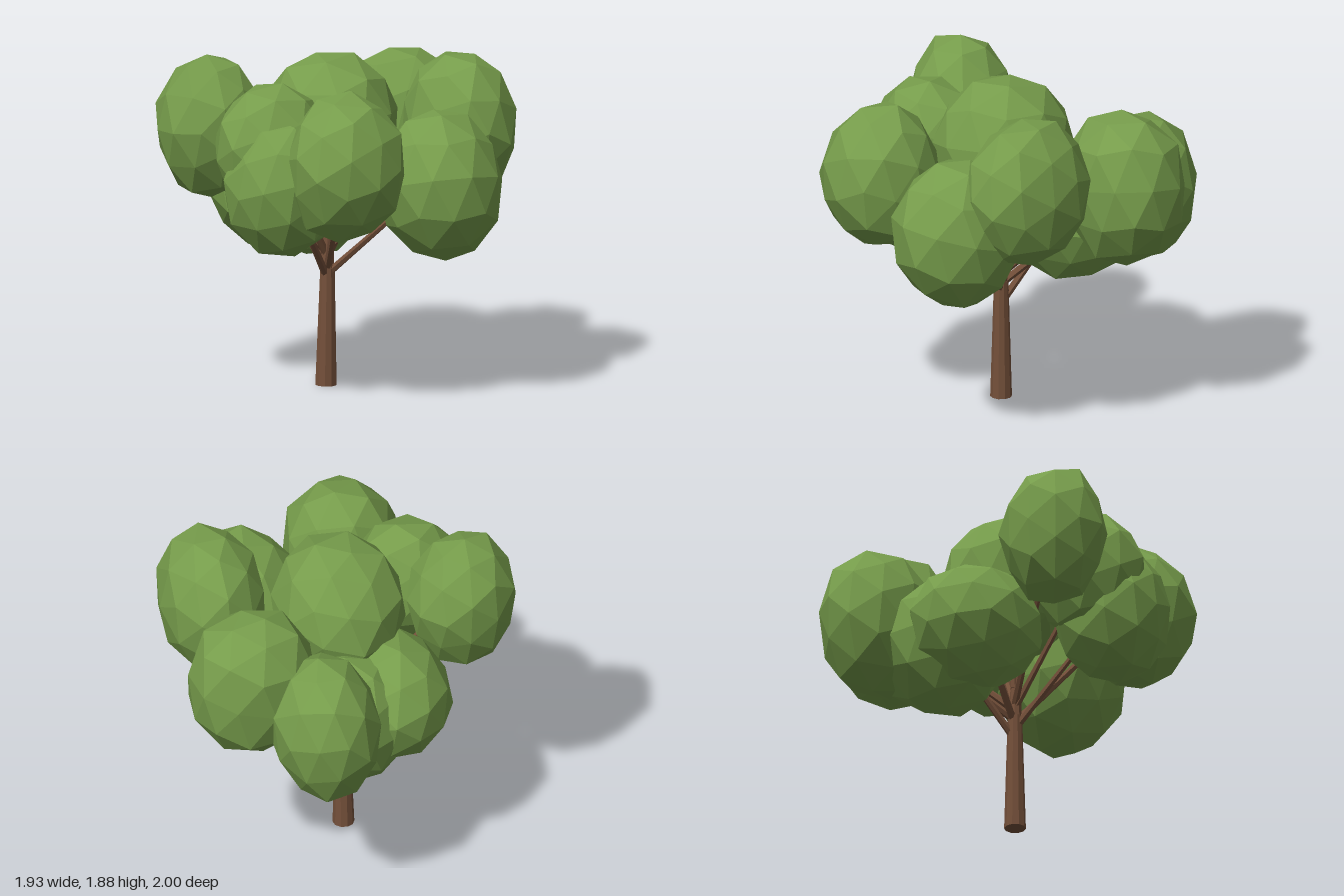
import * as THREE from 'three';
import { mergeVertices } from 'three/addons/utils/BufferGeometryUtils.js';

const leafMat = new THREE.MeshStandardMaterial({ color: 0x769c4b, flatShading: true });
const barkMat = new THREE.MeshStandardMaterial({ color: 0x74503a, flatShading: true });

// small seeded generator
function seeded(seed) {
  let s = seed * 7919 + 17;
  return () => (s = (s * 16807) % 2147483647) / 2147483647;
}

// leaf clumps: centre x, y, z, half sizes x, y, z, height where the branch leaves the trunk
const clumps = [
  [-0.03, 1.46, 0.00, 0.35, 0.40, 0.41, 0.85],
  [0.33, 1.18, -0.65, 0.29, 0.42, 0.35, 0.66],
  [0.61, 1.33, -0.31, 0.35, 0.43, 0.32, 0.72],
  [0.58, 1.45, 0.36, 0.29, 0.40, 0.37, 0.76],
  [0.30, 1.19, 0.63, 0.33, 0.42, 0.37, 0.62],
  [-0.32, 1.37, 0.66, 0.33, 0.41, 0.33, 0.64],
  [-0.67, 1.48, -0.21, 0.30, 0.40, 0.28, 0.74],
  [-0.50, 1.41, 0.18, 0.33, 0.36, 0.29, 0.72],
  [-0.52, 1.22, 0.33, 0.32, 0.38, 0.31, 0.60],
  [-0.19, 1.07, -0.36, 0.32, 0.34, 0.38, 0.64],
  [0.08, 1.03, -0.39, 0.36, 0.38, 0.37, 0.55],
];

// faceted, slightly irregular ball fitted to the given half sizes
function clumpGeometry(seed, rx, ry, rz) {
  const rand = seeded(seed);
  const ball = new THREE.IcosahedronGeometry(1, 1);
  ball.deleteAttribute('normal');
  ball.deleteAttribute('uv');
  const geo = mergeVertices(ball);
  const p = geo.attributes.position;
  const v = new THREE.Vector3();
  for (let i = 0; i < p.count; i++) {
    v.fromBufferAttribute(p, i).multiplyScalar(0.95 + 0.08 * rand());
    p.setXYZ(i, v.x, v.y, v.z);
  }
  geo.rotateX(rand() * 6).rotateY(rand() * 6).rotateZ(rand() * 6);
  geo.center();
  geo.computeBoundingBox();
  const b = geo.boundingBox.max;
  geo.scale(rx / b.x, ry / b.y, rz / b.z);
  geo.computeVertexNormals();
  return geo;
}

// tapered limb between two points
function limb(name, from, to, r0, r1, sides) {
  const dir = to.clone().sub(from);
  const mesh = new THREE.Mesh(new THREE.CylinderGeometry(r1, r0, dir.length(), sides), barkMat);
  mesh.position.copy(from).addScaledVector(dir, 0.5);
  mesh.quaternion.setFromUnitVectors(new THREE.Vector3(0, 1, 0), dir.normalize());
  mesh.name = name;
  return mesh;
}

export function createModel() {
  const tree = new THREE.Group();
  tree.name = 'tree';

  // trunk and its thin upper leader
  const base = new THREE.Vector3(-0.062, 0, 0.01);
  const fork = new THREE.Vector3(-0.055, 0.68, 0.015);
  const tip = new THREE.Vector3(-0.05, 1.04, 0.03);
  tree.add(limb('trunk', base, fork, 0.06, 0.04, 10));
  tree.add(limb('trunkTop', fork, tip, 0.038, 0.018, 8));

  // crown, with one branch reaching up into each clump
  const crown = new THREE.Group();
  crown.name = 'crown';
  const branches = new THREE.Group();
  branches.name = 'branches';
  clumps.forEach(([x, y, z, rx, ry, rz, h], i) => {
    const clump = new THREE.Mesh(clumpGeometry(i + 1, rx, ry, rz), leafMat);
    clump.position.set(x, y, z);
    clump.name = 'leafClump';
    crown.add(clump);
    const start = new THREE.Vector3(-0.055, h, 0.01);
    const end = new THREE.Vector3(x, y + 0.06, z);
    branches.add(limb('branch', start, end, 0.022, 0.012, 6));
  });
  tree.add(crown, branches);
  return tree;
}
